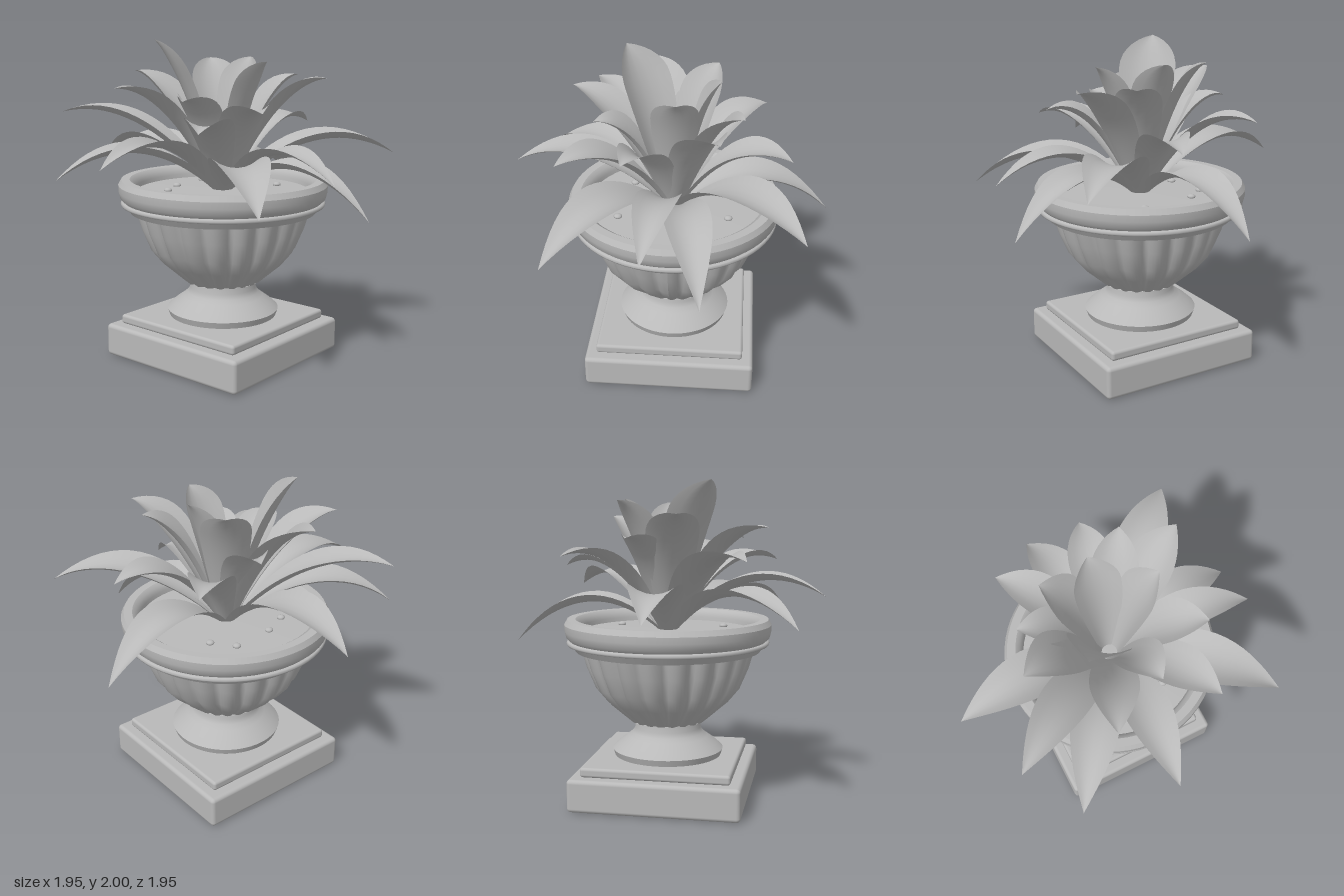
import * as THREE from 'three';
import { RoundedBoxGeometry } from 'three/addons/geometries/RoundedBoxGeometry.js';

const stone = new THREE.MeshStandardMaterial({ color: 0xb9b9b9, side: THREE.DoubleSide });
stone.name = 'plain grey';

function add(parent, name, geometry, x = 0, y = 0, z = 0) {
  const mesh = new THREE.Mesh(geometry, stone);
  mesh.name = name;
  mesh.position.set(x, y, z);
  parent.add(mesh);
  return mesh;
}

// Lathe with a crisp edge at every profile corner: one strip per smooth run
function turned(parent, name, runs) {
  runs.forEach((run) => add(parent, name,
    new THREE.LatheGeometry(run.map(([r, y]) => new THREE.Vector2(r, y)), 64)));
}

// Bowl whose radius is scalloped into rounded ribs
function flutedBowl() {
  const profile = [[0.24, 0.485], [0.385, 0.61], [0.46, 0.7], [0.515, 0.83], [0.55, 0.945]];
  const g = new THREE.LatheGeometry(profile.map(([r, y]) => new THREE.Vector2(r, y)), 160);
  const p = g.attributes.position;
  for (let i = 0; i < p.count; i++) {
    const angle = Math.atan2(p.getZ(i), p.getX(i));
    const k = 1 - 0.075 * (1 - Math.abs(Math.cos(angle * 10)));
    p.setX(i, p.getX(i) * k);
    p.setZ(i, p.getZ(i) * k);
  }
  g.computeVertexNormals();
  return g;
}

// Arching channelled leaf from the heart of the plant to a tip
function leafGeometry(tx, ty, tz, width, peak) {
  const ROWS = 18, COLS = 6;
  const cx = 0.01, cz = 0.03;
  const dx = tx - cx, dz = tz - cz;
  const len = Math.hypot(dx, dz);
  const out = new THREE.Vector3(dx / len, 0, dz / len);
  const side = new THREE.Vector3(-out.z, 0, out.x);
  const curve = new THREE.QuadraticBezierCurve3(
    new THREE.Vector3(cx, 1.06, cz).addScaledVector(out, 0.04),
    new THREE.Vector3(cx + dx * 0.52, 1.5 + 0.35 * (ty - 1), cz + dz * 0.52),
    new THREE.Vector3(tx, ty, tz));
  const pos = [], index = [];
  for (let i = 0; i <= ROWS; i++) {
    const t = i / ROWS;
    const c = curve.getPoint(t);
    const normal = new THREE.Vector3().crossVectors(side, curve.getTangent(t)).normalize();
    if (normal.y < 0) normal.negate();
    const f = t < peak
      ? 0.3 + 0.7 * Math.sin((Math.PI / 2) * (t / peak))
      : Math.cos((Math.PI / 2) * ((t - peak) / (1 - peak)));
    const half = (width / 2) * f;
    for (let j = 0; j <= COLS; j++) {
      const s = (j / COLS) * 2 - 1;
      const v = c.clone().addScaledVector(side, s * half)
        .addScaledVector(normal, 0.38 * half * (s * s - 0.3));
      pos.push(v.x, v.y, v.z);
      if (i < ROWS && j < COLS) {
        const a = i * (COLS + 1) + j, b = a + COLS + 1;
        index.push(a, a + 1, b, a + 1, b + 1, b);
      }
    }
  }
  const g = new THREE.BufferGeometry();
  g.setAttribute('position', new THREE.Float32BufferAttribute(pos, 3));
  g.setIndex(index);
  g.computeVertexNormals();
  return g;
}

export function createModel() {
  const model = new THREE.Group();
  model.name = 'pottedPlant';

  const urn = new THREE.Group();
  urn.name = 'urn';
  urn.position.set(0.012, 0, 0.033);
  model.add(urn);

  // Square plinth
  add(urn, 'plinth', new RoundedBoxGeometry(1.06, 0.205, 1.06, 3, 0.025), 0, 0.1025, 0);
  add(urn, 'plinthStep', new RoundedBoxGeometry(0.925, 0.06, 0.925, 3, 0.018), 0, 0.235, 0);

  // Flared foot
  turned(urn, 'foot', [
    [[0.34, 0.26], [0.355, 0.305]],
    [[0.355, 0.305], [0.31, 0.345], [0.255, 0.385], [0.225, 0.41], [0.21, 0.44], [0.205, 0.495]],
  ]);

  // Bowl and its underside
  add(urn, 'bowl', flutedBowl());
  turned(urn, 'bowlBase', [[[0.001, 0.487], [0.238, 0.487]]]);

  // Rim, with a thin bead below the lip
  turned(urn, 'rim', [
    [[0.5, 0.94], [0.585, 0.94]],
    [[0.585, 0.94], [0.61, 0.98]],
    [[0.61, 0.98], [0.637, 0.982], [0.643, 0.993], [0.637, 1.006], [0.622, 1.008]],
    [[0.622, 1.008], [0.645, 1.03], [0.655, 1.07], [0.656, 1.11]],
    [[0.656, 1.11], [0.637, 1.143]],
    [[0.637, 1.143], [0.585, 1.143]],
    [[0.585, 1.143], [0.56, 1.125], [0.545, 1.09], [0.54, 1.03]],
  ]);

  // Soil with a few pebbles
  turned(urn, 'soil', [[[0.55, 1.065], [0.001, 1.075]]]);
  [[0.28, -0.2], [0.34, 0.17], [0.18, -0.33], [-0.1, -0.3], [-0.27, -0.22], [-0.33, 0.2]]
    .forEach(([x, z]) => {
      const pebble = add(urn, 'pebble', new THREE.SphereGeometry(0.026, 12, 8), x, 1.075, z);
      pebble.scale.y = 0.6;
    });

  // Leaves: tip x, y, z and width
  const plant = new THREE.Group();
  plant.name = 'plant';
  model.add(plant);
  const tiers = {
    outerLeaf: [0.48, [
      [0.97, 0.99, -0.1, 0.29], [0.785, 1.29, 0.8, 0.32], [0.22, 0.95, 0.97, 0.28],
      [-0.11, 1.2, 0.94, 0.25], [-0.68, 1.09, 0.85, 0.33], [-0.975, 1.3, -0.02, 0.28],
      [-0.84, 1.16, -0.57, 0.29], [-0.57, 1.55, -0.8, 0.29], [-0.035, 1.22, -0.98, 0.31]]],
    middleLeaf: [0.58, [
      [0.72, 1.46, 0.18, 0.27], [0.57, 1.55, -0.44, 0.26], [0.3, 1.77, 0.605, 0.3],
      [-0.25, 1.59, 0.54, 0.28], [-0.65, 1.5, 0.41, 0.28], [-0.64, 1.72, -0.25, 0.28],
      [-0.15, 1.8, -0.57, 0.32], [0.17, 1.66, -0.48, 0.25], [-0.46, 1.65, 0.12, 0.27],
      [0.43, 1.78, 0.3, 0.28]]],
    innerLeaf: [0.62, [
      [-0.3, 2.0, -0.25, 0.36], [0.26, 1.88, -0.28, 0.3],
      [0.29, 1.89, 0.03, 0.29], [0.04, 1.87, 0.35, 0.28]]],
  };
  for (const [name, [peak, leaves]] of Object.entries(tiers)) {
    leaves.forEach(([x, y, z, w]) => add(plant, name, leafGeometry(x, y, z, w, peak)));
  }
  return model;
}
